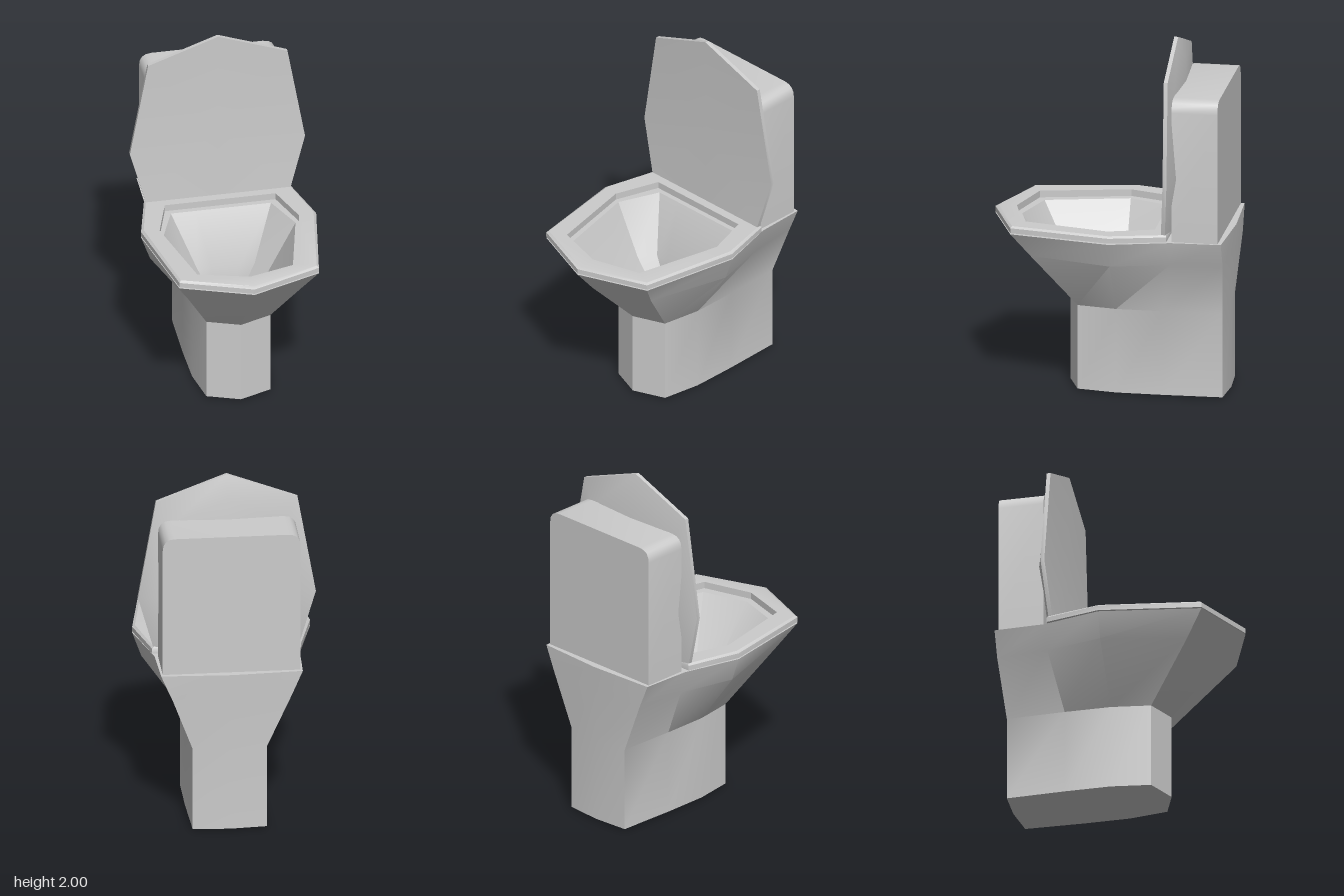
import * as THREE from 'three';
import { toCreasedNormals } from 'three/addons/utils/BufferGeometryUtils.js';

const material = new THREE.MeshStandardMaterial({ color: 0xcccccc });

// Full ring from a half outline that starts and ends on the middle line
function mirror(half, dx = 0) {
  const other = half.slice(1, -1).reverse().map(([x, y, z]) => [-x, y, z]);
  return [...half, ...other].map(([x, y, z]) => [x + dx, y, z]);
}

// Horizontal ring at height y from [x, z] pairs
const level = (y, pairs, dx) => mirror(pairs.map(([x, z]) => [x, y, z]), dx);

// Ring shrunk to a single point, used to close an end
const point = (count, p) => Array.from({ length: count }, () => p);

// Skin between successive rings with equal point counts
function loft(name, rings, crease = 0.5) {
  const n = rings[0].length;
  const positions = [];
  const same = (a, b) => a.every((v, k) => v === b[k]);
  const tri = (a, b, c) => {
    if (!same(a, b) && !same(b, c) && !same(a, c)) positions.push(...a, ...b, ...c);
  };
  for (let i = 0; i < rings.length - 1; i++) {
    for (let j = 0; j < n; j++) {
      const k = (j + 1) % n;
      const a = rings[i][j], b = rings[i][k], c = rings[i + 1][k], d = rings[i + 1][j];
      tri(a, b, c);
      tri(a, c, d);
    }
  }
  const geometry = new THREE.BufferGeometry();
  geometry.setAttribute('position', new THREE.Float32BufferAttribute(positions, 3));
  geometry.computeVertexNormals();
  const mesh = new THREE.Mesh(toCreasedNormals(geometry, crease), material);
  mesh.name = name;
  return mesh;
}

// Pedestal, flared bowl, rear deck and bowl interior in one skin
function createBody() {
  const foot = [[0, 0.25], [0.18, 0.18], [0.215, -0.04], [0.215, -0.3], [0.205, -0.63], [0, -0.645]];
  return loft('bowlAndPedestal', [
    point(10, [0.01, 0, -0.4]),
    level(0.01, foot, 0.01),
    level(0.49, foot, 0.01),
    level(0.8, [[0, 0.55], [0.32, 0.42], [0.44, -0.04], [0.36, -0.36], [0.33, -0.65], [0, -0.66]]),
    level(0.94, [[0, 0.67], [0.39, 0.52], [0.49, -0.04], [0.4, -0.37], [0.39, -0.65], [0, -0.67]]),
    level(0.94, [[0, 0.52], [0.26, 0.44], [0.37, -0.02], [0.28, -0.25], [0.14, -0.25], [0, -0.25]]),
    level(0.65, [[0, 0.3], [0.15, 0.28], [0.22, -0.02], [0.16, -0.11], [0.08, -0.11], [0, -0.11]]),
    level(0.48, [[0, 0.12], [0.075, 0.09], [0.105, -0.03], [0.08, -0.1], [0.04, -0.1], [0, -0.1]]),
    point(10, [0, 0.48, 0]),
  ]);
}

// Ring seat with a bevelled outer edge
function createSeat() {
  const outer = [[0, 0.67], [0.39, 0.52], [0.49, -0.04], [0.41, -0.35], [0, -0.35]];
  const inset = [[0, 0.65], [0.38, 0.51], [0.475, -0.04], [0.4, -0.345], [0, -0.345]];
  const hole = [[0, 0.55], [0.28, 0.47], [0.39, -0.02], [0.31, -0.27], [0, -0.27]];
  return loft('seat', [
    level(0.947, hole), level(0.947, outer), level(0.975, outer),
    level(0.985, inset), level(0.985, hole), level(0.947, hole),
  ]);
}

// Raised lid: flat front, thin rim, domed back
function createLid() {
  const front = [[0, 0.985, -0.32], [0.405, 0.985, -0.32], [0.49, 1.29, -0.343], [0.39, 1.855, -0.333], [0, 2, -0.325]];
  const rim = front.map(([x, y, z]) => [x, y, z - 0.022]);
  const back = [[0, 0.985, -0.37], [0.31, 0.985, -0.37], [0.38, 1.3, -0.4], [0.31, 1.72, -0.375], [0, 1.87, -0.39]];
  return loft('lid', [
    point(8, [0, 1.4, -0.395]), mirror(back), mirror(rim), mirror(front), point(8, [0, 1.4, -0.335]),
  ]);
}

// Water tank with rounded upper corners
function createTank() {
  const w = 0.38, bottom = 0.935, top = 1.75, r = 0.07;
  const shape = new THREE.Shape();
  shape.moveTo(-w, bottom);
  shape.lineTo(w, bottom);
  shape.lineTo(w, top - r);
  shape.quadraticCurveTo(w, top, w - r, top);
  shape.lineTo(r - w, top);
  shape.quadraticCurveTo(-w, top, -w, top - r);
  shape.closePath();
  const geometry = new THREE.ExtrudeGeometry(shape, { depth: 0.255, bevelEnabled: false, curveSegments: 4 });
  geometry.translate(0, 0, -0.63);
  const mesh = new THREE.Mesh(toCreasedNormals(geometry, 0.7), material);
  mesh.name = 'tank';
  return mesh;
}

export function createModel() {
  const group = new THREE.Group();
  group.name = 'toilet';
  group.add(createBody(), createSeat(), createLid(), createTank());
  return group;
}
